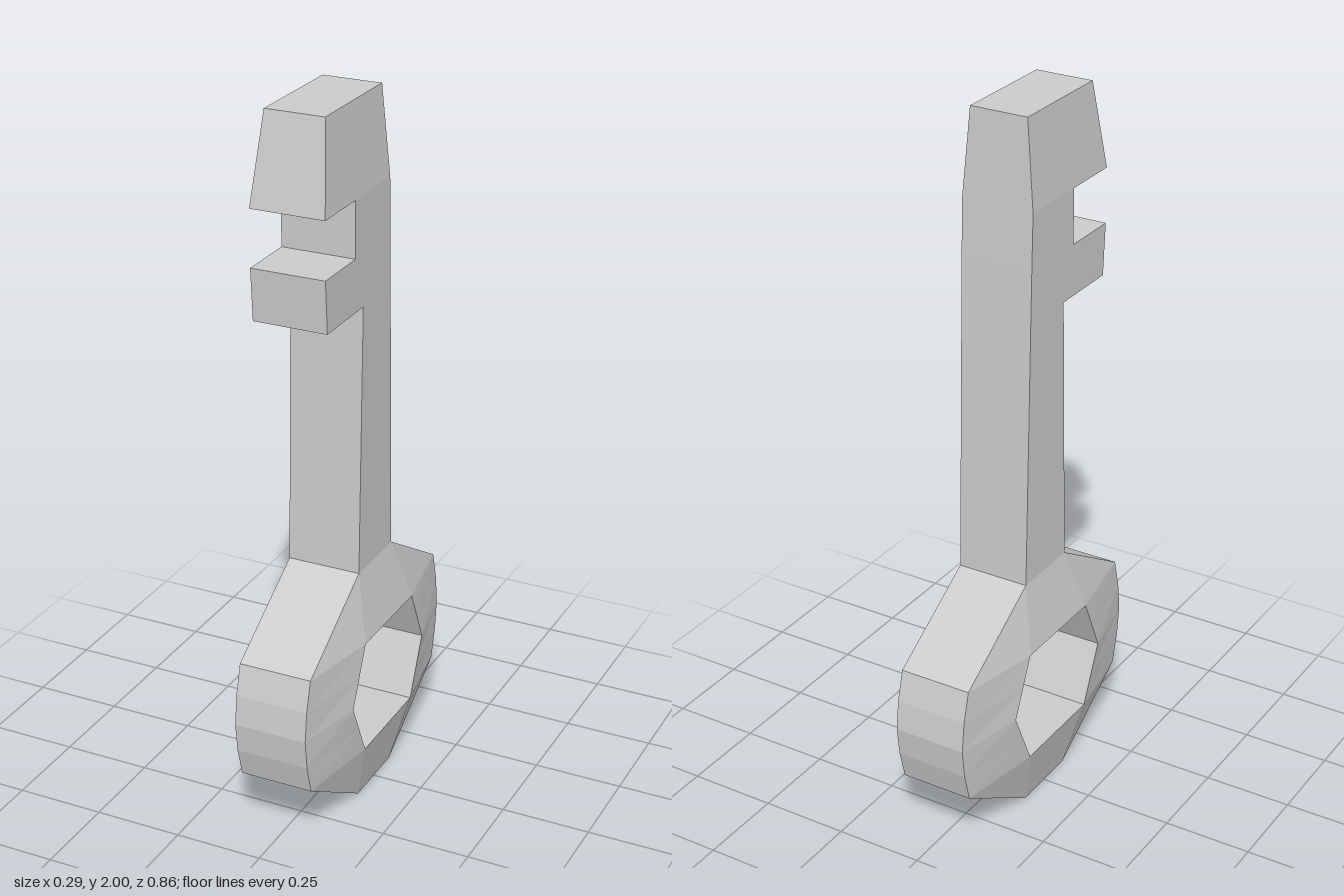
import * as THREE from 'three';

const material = new THREE.MeshStandardMaterial({ color: 0xcccccc, flatShading: true });

// Skins a row of four-cornered sections, each counterclockwise seen from the far end.
function loft(name, sections, { closed = false, capEnd = false } = {}) {
  const positions = [];
  const tri = (a, b, c) => {
    const t = new THREE.Triangle(a, b, c);
    if (t.getArea() > 1e-7) positions.push(...a.toArray(), ...b.toArray(), ...c.toArray());
  };
  const quad = (a, b, c, d) => { tri(a, b, c); tri(a, c, d); };
  const count = closed ? sections.length : sections.length - 1;
  for (let i = 0; i < count; i++) {
    const a = sections[i], b = sections[(i + 1) % sections.length];
    for (let j = 0; j < 4; j++) {
      const k = (j + 1) % 4;
      quad(a[j], a[k], b[k], b[j]);
    }
  }
  if (capEnd) quad(...sections[sections.length - 1]);
  const geometry = new THREE.BufferGeometry();
  geometry.setAttribute('position', new THREE.Float32BufferAttribute(positions, 3));
  geometry.computeVertexNormals();
  const mesh = new THREE.Mesh(geometry, material);
  mesh.name = name;
  return mesh;
}

const v = (x, y, z) => new THREE.Vector3(x, y, z);

export function createModel() {
  const group = new THREE.Group();
  group.name = 'key';

  // Bow: a ring with a hexagonal hole, thicker at the hole than at the rim.
  // Each row pairs a rim point with a hole point: [rim z, rim y, hole z, hole y].
  const half = [
    [0.103, 0.697, 0.15, 0.515],
    [0.395, 0.52, 0.15, 0.515],
    [0.418, 0.435, 0.1875, 0.4325],
    [0.428, 0.35, 0.225, 0.35],
    [0.418, 0.265, 0.1875, 0.2675],
    [0.395, 0.18, 0.15, 0.185],
    [0.103, 0, 0.15, 0.185],
  ];
  const otherHalf = half.map(([rz, ry, hz, hy]) => [-rz, ry, -hz, hy]).reverse();
  const ring = [...half, ...otherHalf].map(([rz, ry, hz, hy]) => [
    v(0.104, ry, rz), v(-0.104, ry, rz), v(-0.147, hy, hz), v(0.147, hy, hz),
  ]);
  group.add(loft('bow', ring, { closed: true }));

  // Shaft with two teeth: [y, back z, front z, half width]; repeated heights make ledges.
  const blade = [
    [0.697, -0.103, 0.103, 0.104],
    [1.455, -0.083, 0.083, 0.104],
    [1.455, -0.083, 0.29, 0.104],
    [1.6, -0.079, 0.3, 0.104],
    [1.6, -0.079, 0.13, 0.104],
    [1.755, -0.074, 0.13, 0.104],
    [1.755, -0.074, 0.3, 0.104],
    [2, -0.066, 0.255, 0.083],
  ].map(([y, back, front, w]) => [
    v(w, y, front), v(w, y, back), v(-w, y, back), v(-w, y, front),
  ]);
  group.add(loft('shaftAndTeeth', blade, { capEnd: true }));

  return group;
}
